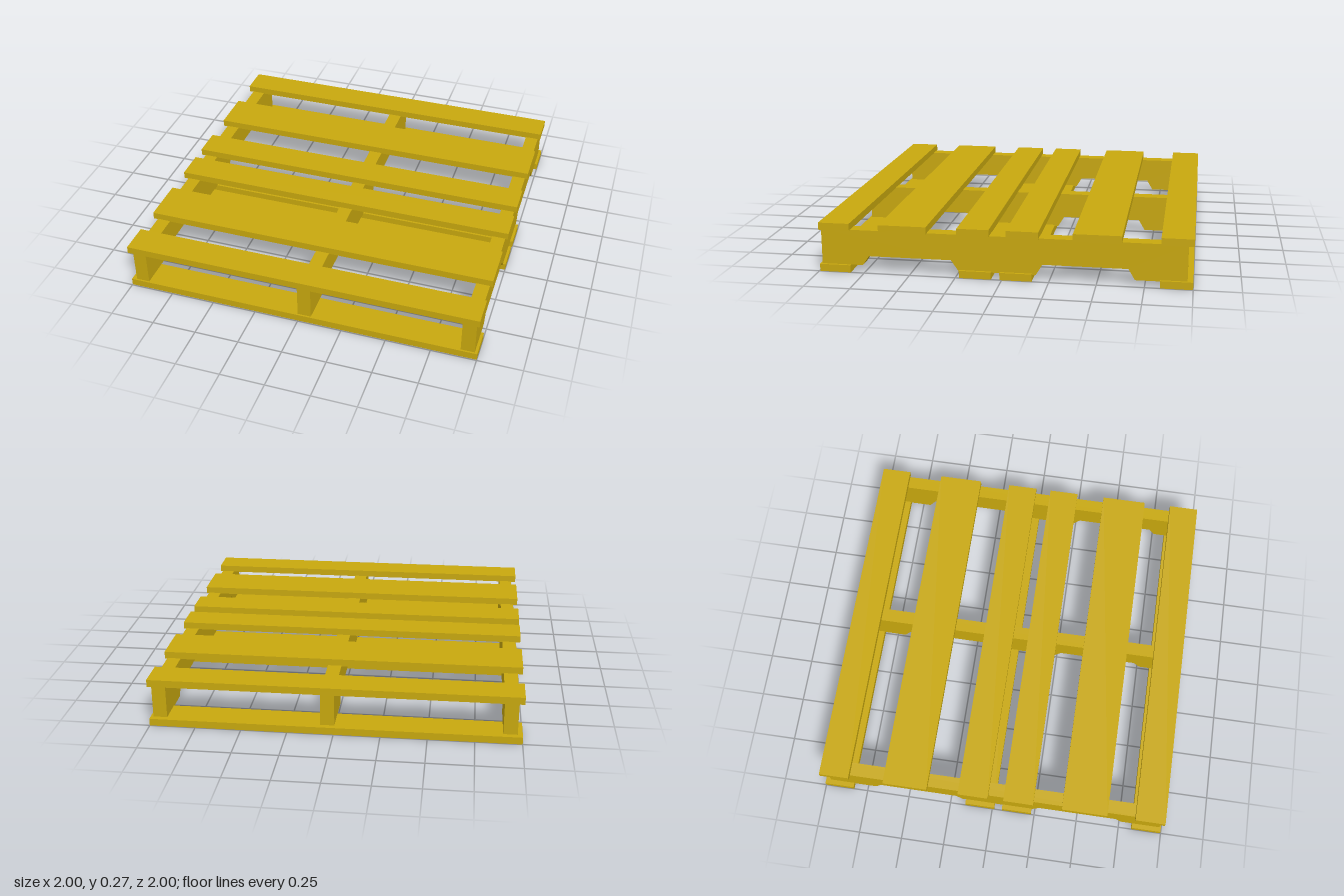
import * as THREE from 'three';

export function createModel() {
  const group = new THREE.Group();
  const wood = new THREE.MeshStandardMaterial({ color: 0xc8a80e, flatShading: true });

  // Cross boards, each given by its back and front edge in z
  function addBoards(name, ranges, bottom, top) {
    for (const [back, front] of ranges) {
      const board = new THREE.Mesh(new THREE.BoxGeometry(2, top - bottom, front - back), wood);
      board.position.set(0, (bottom + top) / 2, (back + front) / 2);
      board.name = name;
      group.add(board);
    }
  }
  addBoards('deckBoard', [
    [-1, -0.83], [-0.63, -0.375], [-0.195, -0.022],
    [0.068, 0.24], [0.405, 0.665], [0.825, 0.995],
  ], 0.232, 0.272);
  addBoards('bottomBoard', [
    [-1, -0.83], [-0.16, 0.012], [0.058, 0.23], [0.825, 0.995],
  ], 0, 0.04);

  // Notched side profile (z, y) shared by the stringers
  const profile = new THREE.Shape([
    [0.985, 0.235], [-0.97, 0.235], [-0.97, 0.033], [-0.7, 0.033], [-0.665, 0.092],
    [-0.215, 0.092], [-0.18, 0.034], [0.235, 0.034], [0.275, 0.092], [0.725, 0.092],
    [0.76, 0.04], [0.985, 0.04],
  ].map(([z, y]) => new THREE.Vector2(z, y)));
  const width = 0.076;
  const stringerGeometry = new THREE.ExtrudeGeometry(profile, { depth: width, bevelEnabled: false });
  stringerGeometry.translate(0, 0, -width / 2).rotateY(-Math.PI / 2);

  const stringers = [['rightStringer', -0.935], ['middleStringer', 0.035], ['leftStringer', 0.947]];
  for (const [name, x] of stringers) {
    const stringer = new THREE.Mesh(stringerGeometry, wood);
    stringer.position.x = x;
    stringer.name = name;
    group.add(stringer);
  }
  return group;
}
